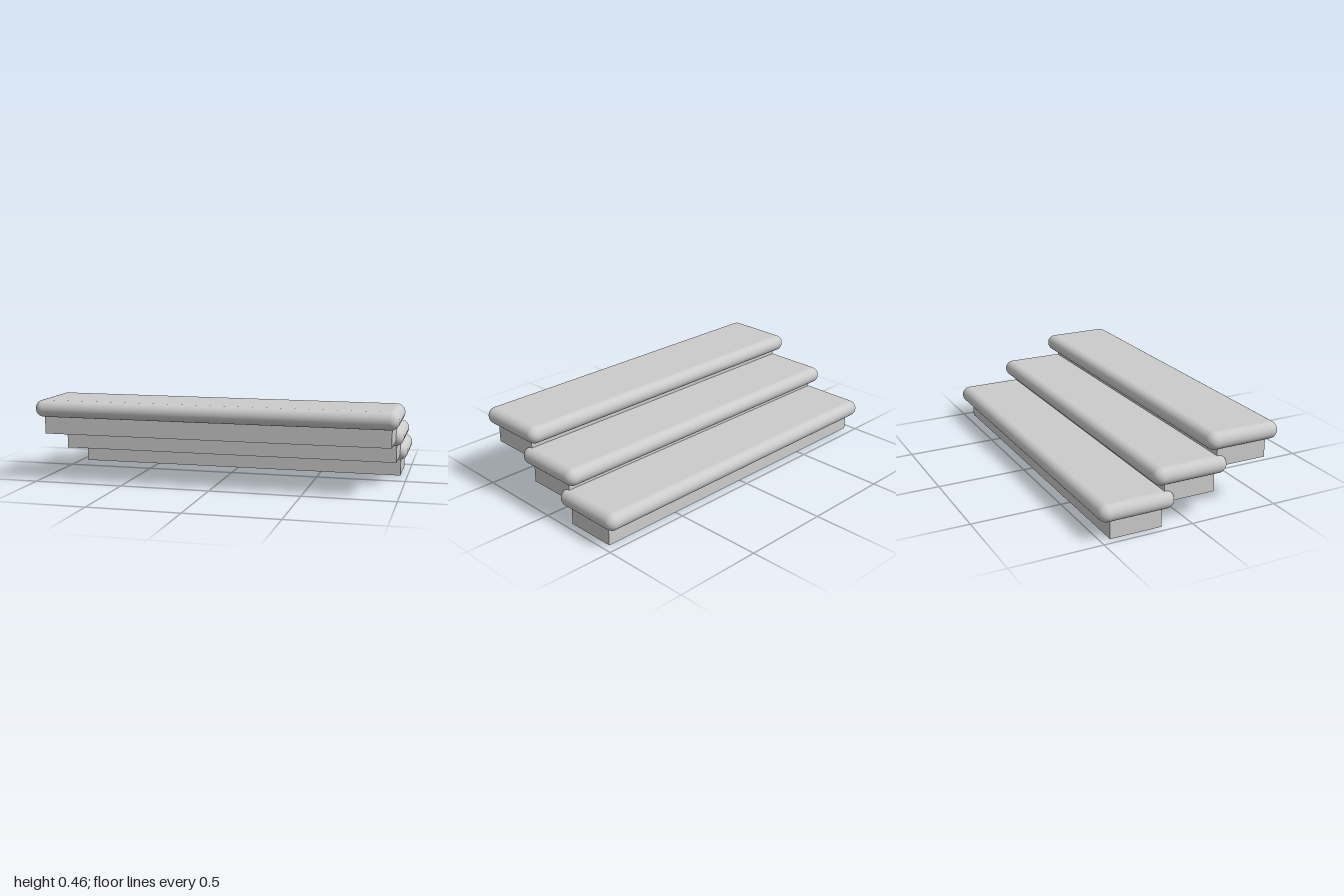
import * as THREE from 'three';
import { RoundedBoxGeometry } from 'three/addons/geometries/RoundedBoxGeometry.js';

export function createModel() {
  const group = new THREE.Group();
  group.name = 'steps';
  const material = new THREE.MeshStandardMaterial({ color: 0xcccccc });

  const stepRise = 0.132, stepRun = 0.302;
  const riserHeight = 0.098, treadHeight = 0.095;

  // each step: a plain riser block under an overhanging tread with fully rounded edges
  const riserGeometry = new THREE.BoxGeometry(1.92, riserHeight, 0.29);
  const treadGeometry = new RoundedBoxGeometry(2, treadHeight, 0.422, 8, 0.0472);

  for (let i = 0; i < 3; i++) {
    const step = new THREE.Group();
    step.name = `step${i + 1}`;
    // steps climb from the back towards the front
    step.position.set(0, i * stepRise, (i - 1) * stepRun);

    const riser = new THREE.Mesh(riserGeometry, material);
    riser.name = 'riser';
    riser.position.y = riserHeight / 2;

    const tread = new THREE.Mesh(treadGeometry, material);
    tread.name = 'tread';
    tread.position.y = riserHeight + treadHeight / 2;

    step.add(riser, tread);
    group.add(step);
  }
  return group;
}
